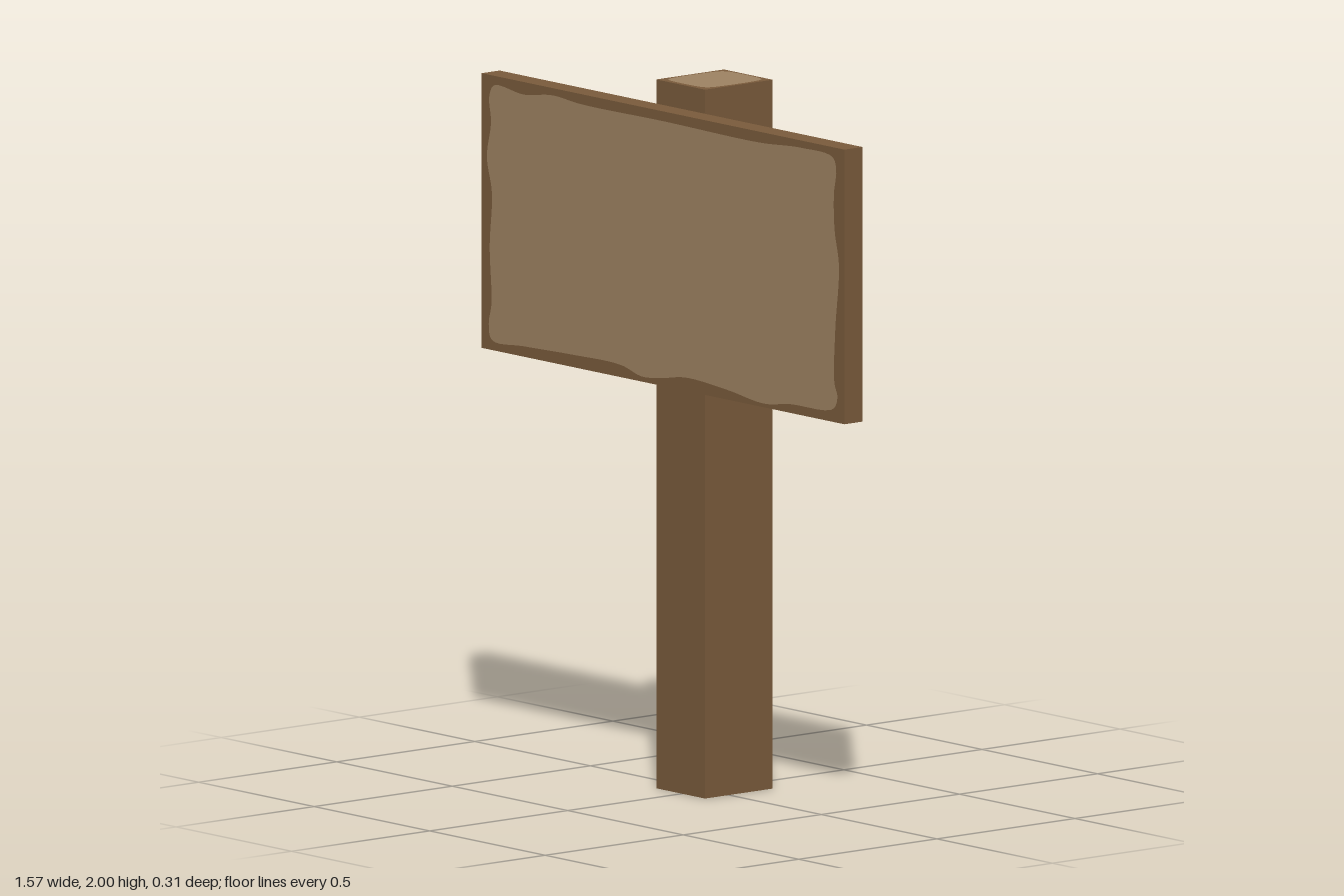
import * as THREE from 'three';

const darkWood = new THREE.MeshStandardMaterial({ color: 0x7b5c3c });
darkWood.name = 'darkWood';
const paleWood = new THREE.MeshStandardMaterial({ color: 0x9f8463 });
paleWood.name = 'paleWood';

// Box given by its lower and upper corners
function box(name, min, max) {
  const size = max.map((v, i) => v - min[i]);
  const mesh = new THREE.Mesh(new THREE.BoxGeometry(...size), darkWood);
  mesh.position.set(...max.map((v, i) => (v + min[i]) / 2));
  mesh.name = name;
  return mesh;
}

// Flat pale patch with a smoothly wavering outline
function patch(name, points, samples) {
  const curve = new THREE.CatmullRomCurve3(
    points.map(([x, y]) => new THREE.Vector3(x, y, 0)), true);
  const outline = curve.getPoints(samples).slice(0, -1);
  const shape = new THREE.Shape(outline.map((p) => new THREE.Vector2(p.x, p.y)));
  const mesh = new THREE.Mesh(new THREE.ShapeGeometry(shape), paleWood);
  mesh.name = name;
  return mesh;
}

export function createModel() {
  const group = new THREE.Group();
  group.name = 'signpost';

  group.add(box('post', [-0.107, 0, -0.155], [0.104, 2, 0.09]));
  group.add(box('board', [-0.785, 1.157, 0.09], [0.785, 1.932, 0.155]));

  // Worn face of the board, counter-clockwise from the lower left
  const face = patch('boardFace', [
    [-0.74, 1.187], [-0.6, 1.187], [-0.4, 1.192], [-0.18, 1.192], [-0.09, 1.172],
    [0.0, 1.18], [0.1, 1.195], [0.28, 1.185], [0.44, 1.168], [0.55, 1.182],
    [0.74, 1.195], [0.757, 1.23], [0.744, 1.27], [0.748, 1.42], [0.764, 1.6],
    [0.745, 1.7], [0.742, 1.8], [0.752, 1.87], [0.738, 1.903], [0.6, 1.912],
    [0.42, 1.902], [0.0, 1.905], [-0.35, 1.904], [-0.48, 1.912], [-0.6, 1.897],
    [-0.73, 1.905], [-0.75, 1.87], [-0.742, 1.8], [-0.76, 1.7], [-0.738, 1.6],
    [-0.748, 1.45], [-0.74, 1.29], [-0.752, 1.23],
  ], 200);
  face.position.z = 0.157;
  group.add(face);

  // Pale end grain on both ends of the post
  const grain = [
    [-0.062, -0.108], [0.062, -0.108], [0.08, -0.101], [0.09, -0.085],
    [0.09, 0.085], [0.08, 0.101], [0.062, 0.108], [-0.062, 0.108],
    [-0.08, 0.101], [-0.09, 0.085], [-0.09, -0.085], [-0.08, -0.101],
  ];
  [['topEndGrain', 2.001, -1], ['bottomEndGrain', -0.001, 1]].forEach(([name, y, turn]) => {
    const end = patch(name, grain, 96);
    end.rotation.x = turn * Math.PI / 2;
    end.position.set(0, y, -0.033);
    group.add(end);
  });

  return group;
}
